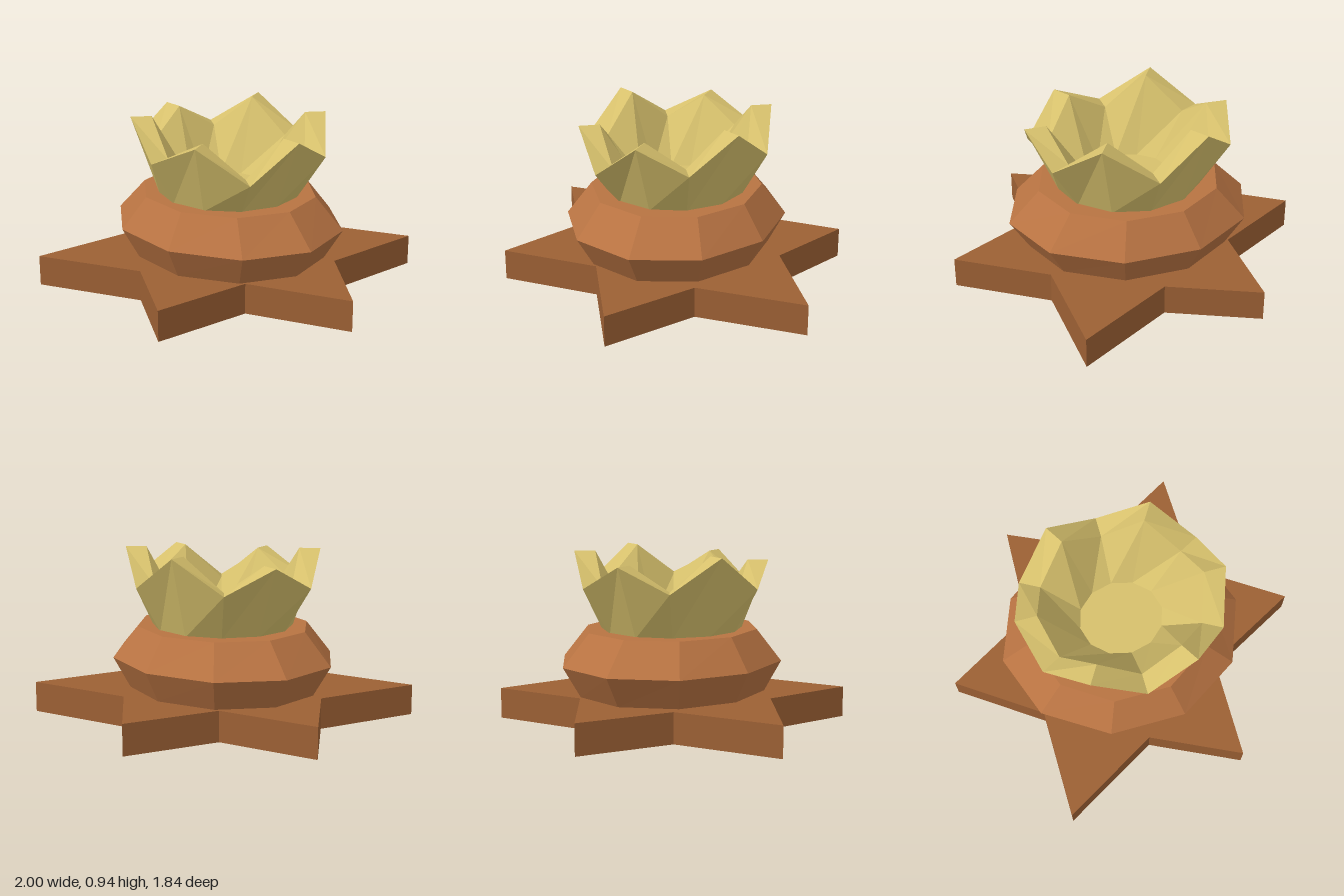
import * as THREE from 'three';

const mat = (color) => new THREE.MeshStandardMaterial({ color, flatShading: true });

// Closed ring of points; r(i) and y(i) may vary around it
function ring(sides, rx, rz, y) {
  return Array.from({ length: sides }, (_, i) => {
    const a = (i / sides) * Math.PI * 2;
    return [rx * Math.cos(a), typeof y === 'function' ? y(i) : y, rz * Math.sin(a)];
  });
}

// Joins successive rings into a surface, closing both ends with fans
function loft(rings) {
  const n = rings[0].length, pos = [];
  for (let k = 0; k < rings.length - 1; k++) {
    for (let i = 0; i < n; i++) {
      const j = (i + 1) % n;
      const a = rings[k][i], b = rings[k + 1][i], c = rings[k][j], d = rings[k + 1][j];
      pos.push(...a, ...b, ...c, ...b, ...d, ...c);
    }
  }
  const cap = (r, up) => {
    const centre = [0, r[0][1], 0];
    for (let i = 0; i < n; i++) {
      const p = r[i], q = r[(i + 1) % n];
      pos.push(...centre, ...(up ? q : p), ...(up ? p : q));
    }
  };
  cap(rings[0], false);
  cap(rings[rings.length - 1], true);
  const g = new THREE.BufferGeometry();
  g.setAttribute('position', new THREE.Float32BufferAttribute(pos, 3));
  g.computeVertexNormals();
  return g;
}

export function createModel() {
  const model = new THREE.Group();
  const add = (name, geometry, color, x = 0) => {
    const mesh = new THREE.Mesh(geometry, mat(color));
    mesh.name = name;
    mesh.position.x = x;
    model.add(mesh);
  };

  // Slightly uneven six-pointed star slab, corners as x, z
  const corners = [
    [1, 0], [0.535, -0.31], [0.52, -0.92], [-0.01, -0.61], [-0.49, -0.83], [-0.505, -0.29],
    [-1, 0], [-0.55, 0.31], [-0.545, 0.92], [-0.01, 0.61], [0.475, 0.84], [0.48, 0.28],
  ];
  const star = new THREE.Shape(corners.map(([x, z]) => new THREE.Vector2(x, -z)));
  const slab = new THREE.ExtrudeGeometry(star, { depth: 0.17, bevelEnabled: false });
  slab.rotateX(-Math.PI / 2);
  add('starBase', slab, 0x9c6034);

  // Ten-sided bulging collar
  add('collar', loft([
    ring(10, 0.58, 0.515, 0.17),
    ring(10, 0.69, 0.605, 0.34),
    ring(10, 0.517, 0.473, 0.515),
  ]), 0xb87342, -0.01);

  // Thick petal bowl: rim heights alternate between petal tip and notch
  const rim = [0.905, 0.705, 0.89, 0.755, 0.945, 0.765, 0.9, 0.765, 0.945, 0.755, 0.945, 0.765];
  const rimY = (i) => rim[i];
  add('petalBowl', loft([
    ring(12, 0.4, 0.385, 0.505),
    ring(12, 0.578, 0.525, rimY),
    ring(12, 0.457, 0.411, rimY),
    ring(12, 0.235, 0.213, 0.54),
  ]), 0xd6c06c, -0.006);

  return model;
}
